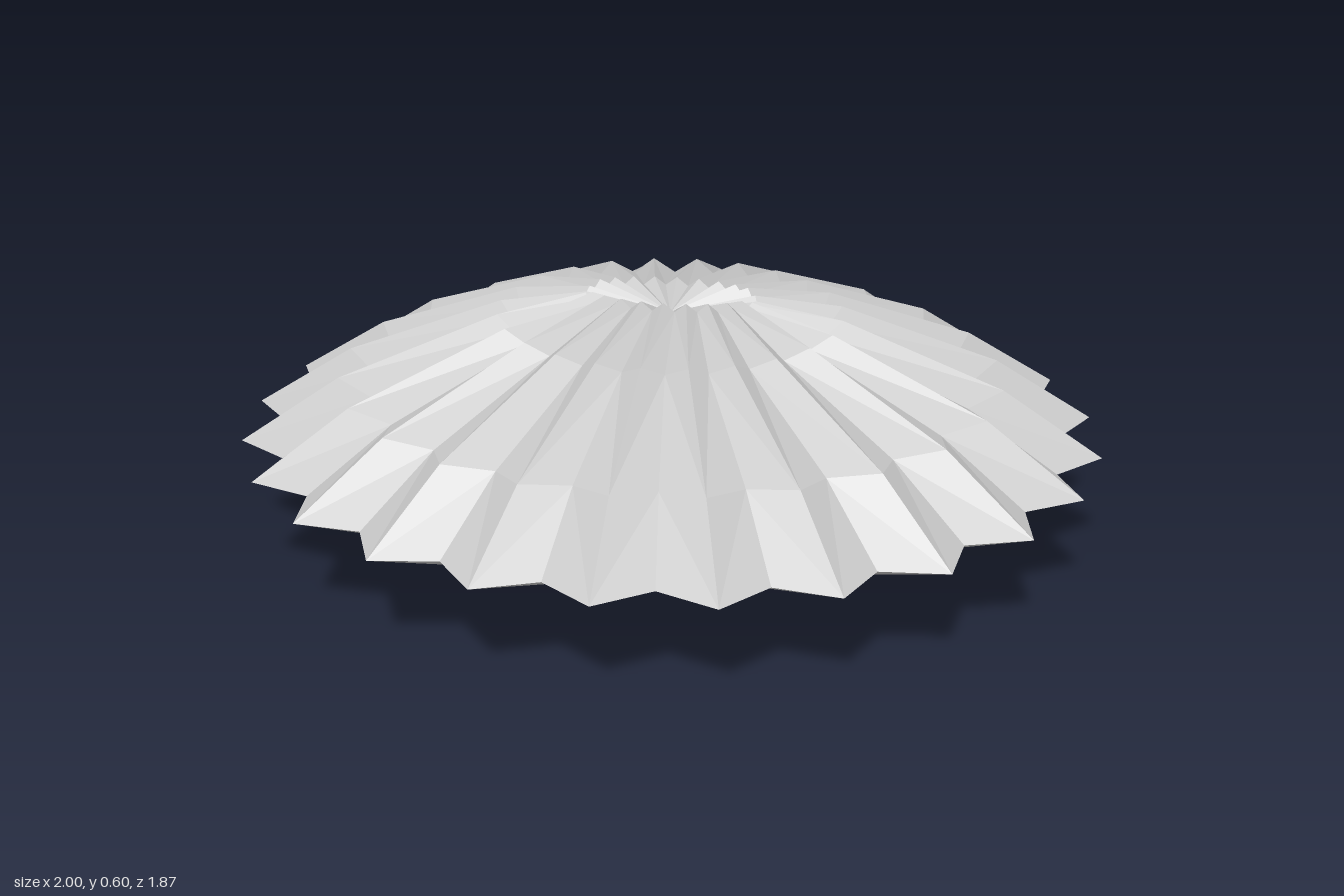
import * as THREE from 'three';

const PLEATS = 24;
const COUNT = PLEATS * 2;

// One cross-section: ridge radii and height, valley radii and height.
// Even points are ridges, odd points are valleys.
function ring(rx, rz, y, valleyScale = 1, valleyDrop = 0) {
  const points = [];
  for (let j = 0; j < COUNT; j++) {
    const angle = (j / COUNT) * Math.PI * 2;
    const valley = j % 2 === 1;
    const s = valley ? valleyScale : 1;
    points.push(new THREE.Vector3(
      rx * s * Math.cos(angle),
      valley ? y - valleyDrop : y,
      rz * s * Math.sin(angle)));
  }
  return points;
}

// Skin a stack of cross-sections, ordered along the surface.
function skin(rings) {
  const positions = [];
  const add = (...pts) => pts.forEach((p) => positions.push(p.x, p.y, p.z));
  for (let i = 0; i < rings.length - 1; i++) {
    for (let j = 0; j < COUNT; j++) {
      const k = (j + 1) % COUNT;
      const a = rings[i][j], b = rings[i][k];
      const c = rings[i + 1][k], d = rings[i + 1][j];
      // mirror the diagonal so each pleat is symmetrical about its ridge
      if (j % 2 === 0) add(a, d, c, a, c, b);
      else add(a, d, b, d, c, b);
    }
  }
  return toGeometry(positions);
}

// Close a cross-section with a fan to a centre point.
function fan(points, centreY, facingUp) {
  const centre = new THREE.Vector3(0, centreY, 0);
  const positions = [];
  for (let j = 0; j < COUNT; j++) {
    const p = points[j], q = points[(j + 1) % COUNT];
    const tri = facingUp ? [centre, q, p] : [centre, p, q];
    tri.forEach((v) => positions.push(v.x, v.y, v.z));
  }
  return toGeometry(positions);
}

function toGeometry(positions) {
  const geometry = new THREE.BufferGeometry();
  geometry.setAttribute('position', new THREE.Float32BufferAttribute(positions, 3));
  geometry.computeVertexNormals();
  return geometry;
}

export function createModel() {
  const grey = new THREE.MeshStandardMaterial({ color: 0xcccccc, flatShading: true });
  grey.name = 'light grey';

  const base = ring(0.26, 0.245, 0);
  const belly = ring(0.53, 0.495, 0.07, 0.91, 0);
  const rim = ring(1, 0.935, 0.25, 0.91, 0);
  const shoulder = ring(0.77, 0.725, 0.4, 0.91, 0.015);
  const crown = ring(0.4, 0.37, 0.545, 0.92, 0.025);
  const mouth = ring(0.2, 0.09, 0.595, 1, 0.02);

  // the mouth is pinched down to a channel along the long axis
  mouth[0].y = mouth[PLEATS].y = 0.545;
  for (const j of [2, PLEATS - 2, PLEATS + 2, COUNT - 2]) mouth[j].y = 0.585;

  const group = new THREE.Group();
  group.name = 'pleatedCushion';
  const add = (name, geometry) => {
    const mesh = new THREE.Mesh(geometry, grey);
    mesh.name = name;
    group.add(mesh);
  };

  add('flatBase', fan(base, 0, false));
  add('pleatedUnderside', skin([base, belly, rim]));
  add('pleatedTop', skin([rim, shoulder, crown, mouth]));
  add('centreHollow', fan(mouth, 0.54, true));
  return group;
}
